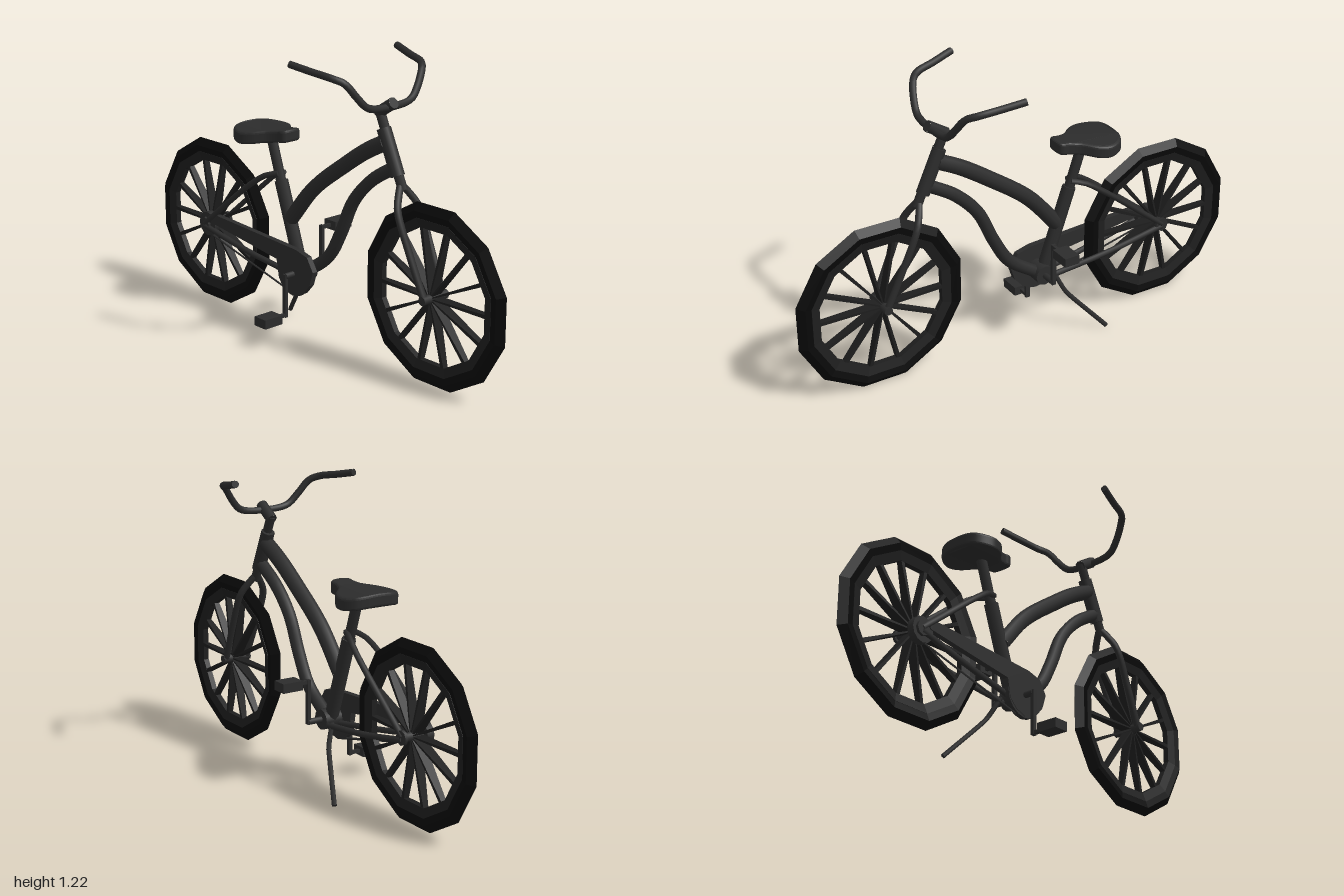
import * as THREE from 'three';

const frameMat = new THREE.MeshStandardMaterial({ color: 0x2c2c2c });
frameMat.name = 'charcoal frame';
const rimMat = new THREE.MeshStandardMaterial({ color: 0x1e1e1e });
rimMat.name = 'dark rim';
const tyreMat = new THREE.MeshStandardMaterial({ color: 0x090909 });
tyreMat.name = 'black rubber';

const V = (p) => new THREE.Vector3(...p);

function add(parent, name, geo, mat = frameMat) {
  const mesh = new THREE.Mesh(geo, mat);
  mesh.name = name;
  parent.add(mesh);
  return mesh;
}

function flat(geo) {
  const g = geo.index ? geo.toNonIndexed() : geo;
  g.computeVertexNormals();
  return g;
}

// Bent tube through a few points, closed at both ends
function tube(parent, name, pts, r, sides = 8) {
  const curve = pts.length === 2
    ? new THREE.LineCurve3(V(pts[0]), V(pts[1]))
    : new THREE.CatmullRomCurve3(pts.map(V), false, 'centripetal');
  const group = new THREE.Group();
  group.name = name;
  parent.add(group);
  add(group, name + 'Body', new THREE.TubeGeometry(curve, pts.length === 2 ? 1 : pts.length * 4, r, sides));
  for (const [t, s] of [[0, -1], [1, 1]]) {
    const cap = add(group, name + 'Cap', new THREE.CircleGeometry(r, sides));
    cap.position.copy(curve.getPoint(t));
    cap.quaternion.setFromUnitVectors(new THREE.Vector3(0, 0, 1), curve.getTangent(t).multiplyScalar(s));
  }
}

function box(parent, name, size, pos, mat) {
  add(parent, name, new THREE.BoxGeometry(...size), mat).position.set(...pos);
}

function disc(parent, name, r, depth, pos, sides = 12) {
  add(parent, name, new THREE.CylinderGeometry(r, r, depth, sides).rotateX(Math.PI / 2)).position.set(...pos);
}

// Twelve-sided ring about z from a (radius, depth) section
function ring(section) {
  const pts = [...section, section[0]].map(([r, d]) => new THREE.Vector2(r, d));
  return flat(new THREE.LatheGeometry(pts, 12).rotateY(Math.PI / 12).rotateX(Math.PI / 2));
}

function makeWheel(name, x) {
  const wheel = new THREE.Group();
  wheel.name = name;
  wheel.position.set(x, 0.358, 0);
  add(wheel, 'tyre', ring([[0.305, -0.019], [0.335, -0.025], [0.365, 0], [0.335, 0.025], [0.305, 0.019]]), tyreMat);
  add(wheel, 'rim', ring([[0.27, -0.012], [0.307, -0.021], [0.307, 0.021], [0.27, 0.012]]), rimMat);
  // Spokes widen toward the rim and flare sideways at the hub
  const spoke = new THREE.BoxGeometry(0.27, 1, 1).translate(0.145, 0, 0);
  const p = spoke.attributes.position;
  for (let i = 0; i < p.count; i++) {
    const outer = p.getX(i) > 0.1;
    p.setY(i, p.getY(i) * (outer ? 0.016 : 0.005));
    p.setZ(i, p.getZ(i) * (outer ? 0.022 : 0.05));
  }
  const spokeGeo = flat(spoke);
  for (let i = 0; i < 14; i++) {
    add(wheel, 'spoke', spokeGeo, rimMat).rotation.z = (i * Math.PI * 2) / 14;
  }
  disc(wheel, 'hub', 0.018, 0.13, [0, 0, 0], 8);
  return wheel;
}

function makeFrame() {
  const g = new THREE.Group();
  g.name = 'frame';
  tube(g, 'headTube', [[0.37, 0.955, 0], [0.447, 0.785, 0]], 0.028, 10);
  tube(g, 'topTube', [[0.385, 0.905, 0], [0.28, 0.85, 0], [0.16, 0.77, 0], [-0.02, 0.635, 0], [-0.155, 0.48, 0]], 0.032);
  tube(g, 'downTube', [[0.43, 0.815, 0], [0.31, 0.74, 0], [0.21, 0.635, 0], [0.14, 0.49, 0], [0.07, 0.375, 0], [-0.06, 0.28, 0]], 0.026);
  tube(g, 'seatTube', [[-0.215, 0.63, 0], [-0.09, 0.27, 0]], 0.028);
  tube(g, 'seatPost', [[-0.28, 0.82, 0], [-0.2, 0.58, 0]], 0.021);
  disc(g, 'bottomBracket', 0.042, 0.08, [-0.08, 0.275, 0]);
  for (const s of [1, -1]) {
    tube(g, 'seatStay', [[-0.215, 0.66, s * 0.015], [-0.27, 0.645, s * 0.035], [-0.34, 0.6, s * 0.05], [-0.645, 0.36, s * 0.06]], 0.012, 6);
    tube(g, 'chainStay', [[-0.645, 0.35, s * 0.06], [-0.4, 0.3, s * 0.048], [-0.1, 0.255, s * 0.025]], 0.012, 6);
    disc(g, 'dropout', 0.03, 0.012, [-0.643, 0.358, s * 0.06], 8);
  }
  tube(g, 'kickstand', [[-0.13, 0.27, -0.02], [-0.165, 0.185, -0.06], [-0.18, 0.165, -0.068], [-0.32, 0.008, -0.138]], 0.01, 6);
  return g;
}

function makeSteering() {
  const g = new THREE.Group();
  g.name = 'steering';
  tube(g, 'steerer', [[0.347, 1.02, 0], [0.475, 0.735, 0]], 0.019);
  tube(g, 'stem', [[0.34, 1.01, 0], [0.42, 1.06, 0]], 0.023);
  const half = [[0.4, 1.045, 0.08], [0.398, 1.058, 0.12], [0.388, 1.1, 0.16], [0.368, 1.152, 0.2],
    [0.335, 1.17, 0.23], [0.25, 1.185, 0.253], [0.157, 1.203, 0.278]];
  const mirrored = half.map(([x, y, z]) => [x, y, -z]).reverse();
  tube(g, 'handlebar', [...mirrored, ...half], 0.0145);
  for (const s of [1, -1]) {
    tube(g, 'forkLeg', [[0.468, 0.75, s * 0.008], [0.482, 0.72, s * 0.03], [0.505, 0.67, s * 0.056],
      [0.57, 0.52, s * 0.057], [0.643, 0.355, s * 0.05]], 0.0145);
  }
  return g;
}

function makeSaddle() {
  // Plan outline: broad rounded rear, narrow nose toward +x
  const half = [[-0.405, 0.05], [-0.385, 0.092], [-0.335, 0.115], [-0.285, 0.1], [-0.235, 0.055], [-0.19, 0.036], [-0.155, 0.03]];
  const outline = [...half, ...half.map(([x, z]) => [x, -z]).reverse()].map((q) => new THREE.Vector2(...q));
  const shape = new THREE.Shape();
  shape.moveTo(outline[0].x, outline[0].y);
  shape.splineThru([...outline.slice(1), outline[0]]);
  const geo = new THREE.ExtrudeGeometry(shape, {
    depth: 0.03, curveSegments: 36, bevelSize: 0.011, bevelThickness: 0.011, bevelSegments: 3,
  });
  geo.rotateX(-Math.PI / 2);
  // Wings droop at the sides, nose lifts a little
  const p = geo.attributes.position;
  for (let i = 0; i < p.count; i++) {
    const x = p.getX(i), z = p.getZ(i);
    p.setY(i, p.getY(i) + 0.806 - 1.0 * z * z + 0.12 * Math.max(0, x + 0.22));
  }
  geo.computeVertexNormals();
  return geo;
}

function makeDrive() {
  const g = new THREE.Group();
  g.name = 'drivetrain';
  // Chain guard: slim bar that swells around the chainring
  const guard = new THREE.Shape();
  guard.moveTo(-0.6, 0.37);
  guard.lineTo(-0.18, 0.315);
  guard.lineTo(-0.165, 0.24);
  guard.lineTo(-0.13, 0.205);
  guard.lineTo(-0.08, 0.187);
  guard.lineTo(-0.02, 0.205);
  guard.lineTo(0.02, 0.25);
  guard.lineTo(0.04, 0.31);
  guard.lineTo(0.005, 0.365);
  guard.lineTo(-0.06, 0.382);
  guard.lineTo(-0.57, 0.41);
  guard.lineTo(-0.61, 0.4);
  add(g, 'chainGuard', new THREE.ExtrudeGeometry(guard, { depth: 0.024, bevelEnabled: false }).translate(0, 0, 0.035));
  disc(g, 'chainring', 0.092, 0.02, [-0.083, 0.273, 0.047], 16);
  disc(g, 'sprocket', 0.052, 0.03, [-0.635, 0.358, 0.04]);
  tube(g, 'chain', [[-0.63, 0.315, 0.045], [-0.1, 0.187, 0.045]], 0.005, 4);
  disc(g, 'crankAxle', 0.013, 0.2, [-0.08, 0.275, 0], 8);
  // Opposed cranks with block pedals
  for (const s of [1, -1]) {
    const y = 0.275 - s * 0.165;
    box(g, 'crankArm', [0.018, 0.183, 0.014], [-0.08, 0.275 - s * 0.0825, s * 0.1]);
    box(g, 'pedalAxle', [0.014, 0.014, 0.06], [-0.08, y, s * 0.125]);
    box(g, 'pedal', [0.066, 0.038, 0.09], [-0.08, y, s * 0.19]);
  }
  return g;
}

export function createModel() {
  const model = new THREE.Group();
  model.name = 'bicycle';
  model.add(makeWheel('rearWheel', -0.647), makeWheel('frontWheel', 0.644));
  model.add(makeFrame(), makeSteering(), makeDrive());
  add(model, 'saddle', makeSaddle());
  return model;
}
